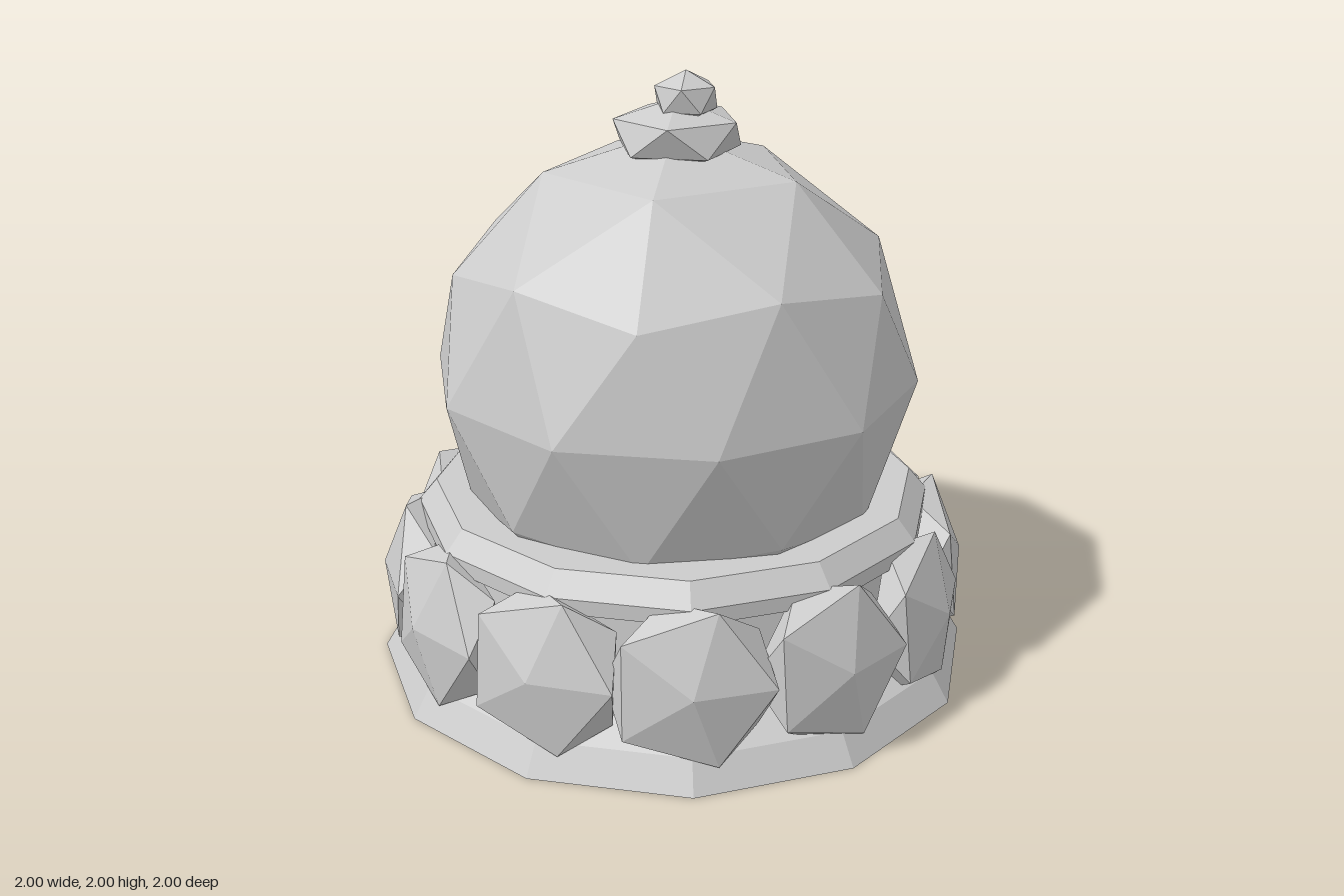
import * as THREE from 'three';

const material = new THREE.MeshStandardMaterial({ color: 0xcccccc, flatShading: true });

function part(name, geometry, x = 0, y = 0, z = 0) {
  const mesh = new THREE.Mesh(geometry, material);
  mesh.name = name;
  mesh.position.set(x, y, z);
  return mesh;
}

// Faceted ball standing on a corner, with one upper corner pointing to +x
function facetedBall(detail) {
  const t = (1 + Math.sqrt(5)) / 2;
  return new THREE.IcosahedronGeometry(1, detail).rotateZ(Math.atan(1 / t)).rotateY(Math.PI);
}

export function createModel() {
  const model = new THREE.Group();

  // Twelve-sided pedestal: flared foot, waist behind the petals, bevelled rim
  const profile = [
    [0, 0], [1, 0], [0.94, 0.1], [0.8, 0.2], [0.78, 0.5],
    [0.86, 0.5], [0.86, 0.55], [0.8, 0.62], [0, 0.62],
  ].map(([r, y]) => new THREE.Vector2(r, y));
  model.add(part('pedestal', new THREE.LatheGeometry(profile, 12)));

  // Ring of flattened petals leaning slightly inward
  const petalGeometry = facetedBall(0).rotateX(Math.PI / 2).scale(0.29, 0.29, 0.12).rotateX(-0.1);
  const petals = new THREE.Group();
  petals.name = 'petalRing';
  for (let i = 0; i < 12; i++) {
    const angle = (i / 12) * Math.PI * 2;
    const petal = part('petal', petalGeometry, Math.sin(angle) * 0.87, 0.31, Math.cos(angle) * 0.87);
    petal.rotation.y = angle;
    petals.add(petal);
  }
  model.add(petals);

  // Dome sunk into the pedestal
  model.add(part('dome', facetedBall(1).scale(0.8, 0.8, 0.8), 0, 1, 0));

  // Two-tier finial
  model.add(part('finialBase', facetedBall(0).scale(0.23, 0.11, 0.23), 0.01, 1.795, 0));
  model.add(part('finialTip', facetedBall(0).scale(0.112, 0.085, 0.112), 0.04, 1.91, 0));

  return model;
}
